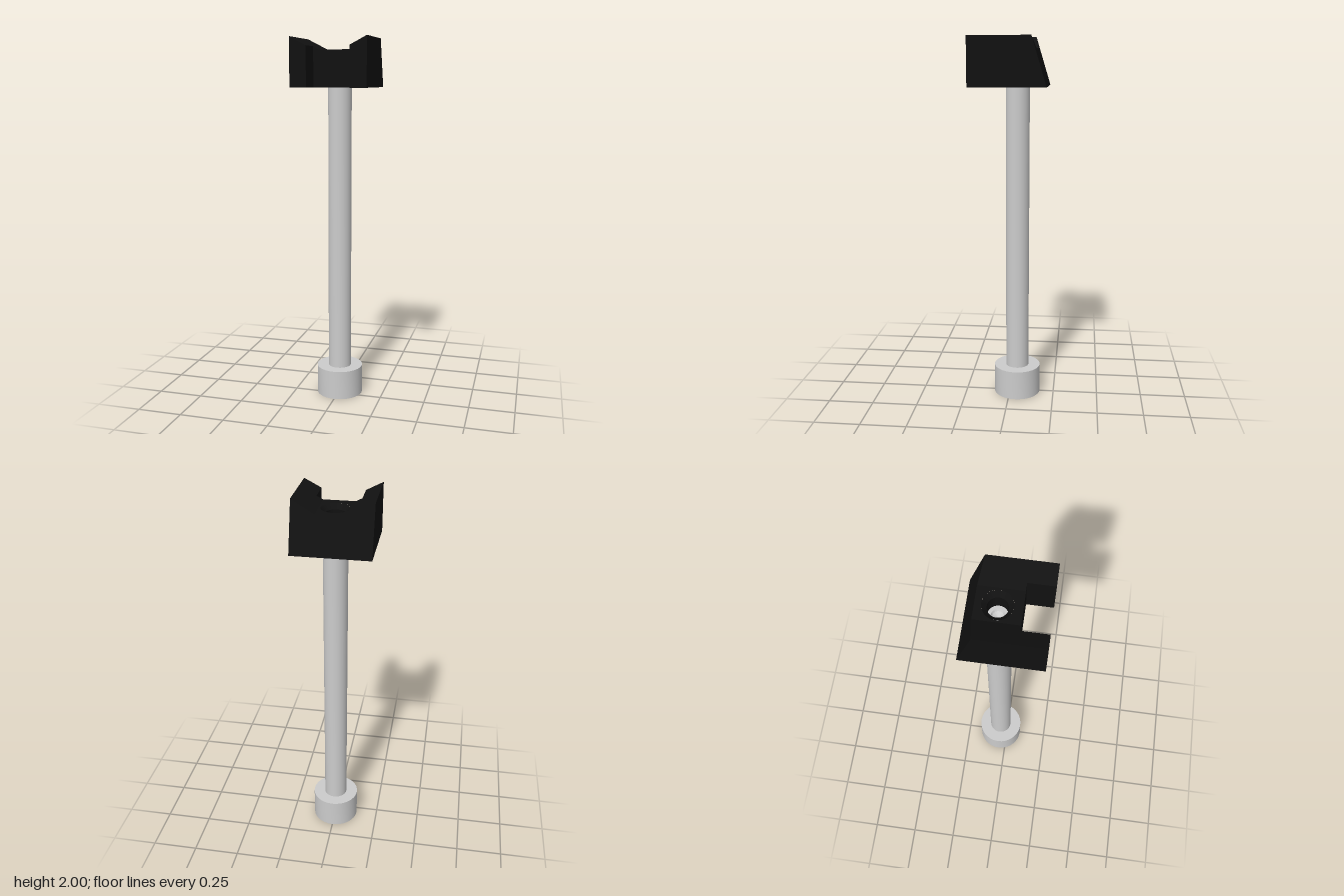
import * as THREE from 'three';
import { mergeGeometries, toCreasedNormals } from 'three/addons/utils/BufferGeometryUtils.js';

const HALF = 0.204, FLAT = 0.083, SLOT = 0.115, SLOT_Z = 0.073; // clamp plan sizes
const BASE = 1.742, LOW = 1.937, HIGH = 2;                      // clamp heights
const AXIS_Z = -0.041, ROD_R = 0.064, BORE_R = 0.049, SINK_R = 0.073;

// Top height rises from the flat middle to the outer edges
const topY = (x) => LOW + (HIGH - LOW) * Math.max(0, (Math.abs(x) - FLAT) / (HALF - FLAT));
// The back face leans forward with height
const topZ = (x, z) => (z > -HALF ? z : z + 0.079 * (topY(x) - BASE) / (HIGH - BASE));

// Flat plate from plan points [x, z], lifted to height(x)
function plate(points, height, up, holeRadius) {
  const shape = new THREE.Shape(points.map(([x, z]) => new THREE.Vector2(x, z)));
  if (holeRadius) shape.holes.push(new THREE.Path().absarc(0, AXIS_Z, holeRadius, 0, Math.PI * 2, true));
  let g = new THREE.ShapeGeometry(shape, 32);
  const p = g.attributes.position;
  for (let i = 0; i < p.count; i++) p.setXYZ(i, p.getX(i), height(p.getX(i)), p.getY(i));
  if (up) g.setIndex(Array.from(g.index.array).reverse());
  g = g.toNonIndexed();
  g.deleteAttribute('uv');
  g.computeVertexNormals();
  return g;
}

// Vertical walls around the plan outline
function walls(outline) {
  const pos = [];
  outline.forEach(([ax, az], i) => {
    const [bx, bz] = outline[(i + 1) % outline.length];
    const a = [ax, BASE, az], b = [bx, BASE, bz];
    const A = [ax, topY(ax), topZ(ax, az)], B = [bx, topY(bx), topZ(bx, bz)];
    pos.push(...a, ...A, ...B, ...a, ...B, ...b);
  });
  const g = new THREE.BufferGeometry();
  g.setAttribute('position', new THREE.Float32BufferAttribute(pos, 3));
  g.computeVertexNormals();
  return g;
}

// Turned part around the bolt axis with crisp edges
function turned(profile) {
  const g = new THREE.LatheGeometry(profile.map(([r, y]) => new THREE.Vector2(r, y)), 32);
  g.deleteAttribute('uv');
  g.translate(0, 0, AXIS_Z);
  return toCreasedNormals(g, 0.4);
}

function clampGeometry() {
  const outline = [
    [-HALF, -HALF], [-FLAT, -HALF], [FLAT, -HALF], [HALF, -HALF], [HALF, HALF], [SLOT, HALF],
    [SLOT, SLOT_Z], [FLAT, SLOT_Z], [-FLAT, SLOT_Z], [-SLOT, SLOT_Z], [-SLOT, HALF], [-HALF, HALF],
  ];
  const middle = [[-FLAT, -HALF], [FLAT, -HALF], [FLAT, SLOT_Z], [-FLAT, SLOT_Z]];
  const wing = [[FLAT, -HALF], [HALF, -HALF], [HALF, HALF], [SLOT, HALF], [SLOT, SLOT_Z], [FLAT, SLOT_Z]];
  const atTop = (pts) => pts.map(([x, z]) => [x, topZ(x, z)]);
  const mirrored = wing.map(([x, z]) => [-x, z]);
  return mergeGeometries([
    walls(outline),
    plate(outline, () => BASE, false, ROD_R),
    plate(atTop(middle), topY, true, SINK_R),
    plate(atTop(wing), topY, true),
    plate(atTop(mirrored), topY, true),
    // countersunk bore
    turned([[SINK_R, LOW], [BORE_R, LOW - 0.025], [BORE_R, 1.8]]),
  ]);
}

export function createModel() {
  const group = new THREE.Group();
  const grey = new THREE.MeshStandardMaterial({ color: 0xcccccc });
  const black = new THREE.MeshStandardMaterial({ color: 0x111111 });
  const add = (name, geometry, material) => {
    const mesh = new THREE.Mesh(geometry, material);
    mesh.name = name;
    group.add(mesh);
  };

  add('clampBlock', clampGeometry(), black);
  add('boltHead', turned([[0, 0], [0.129, 0], [0.129, 0.163], [ROD_R, 0.163]]), grey);
  // Rod with a chamfered, cupped tip inside the block
  const tip = 1.83;
  add('boltRod', turned([
    [ROD_R, 0.163], [ROD_R, tip - 0.015], [BORE_R, tip], [0.033, tip], [0.027, tip - 0.012], [0, tip - 0.03],
  ]), grey);
  return group;
}
